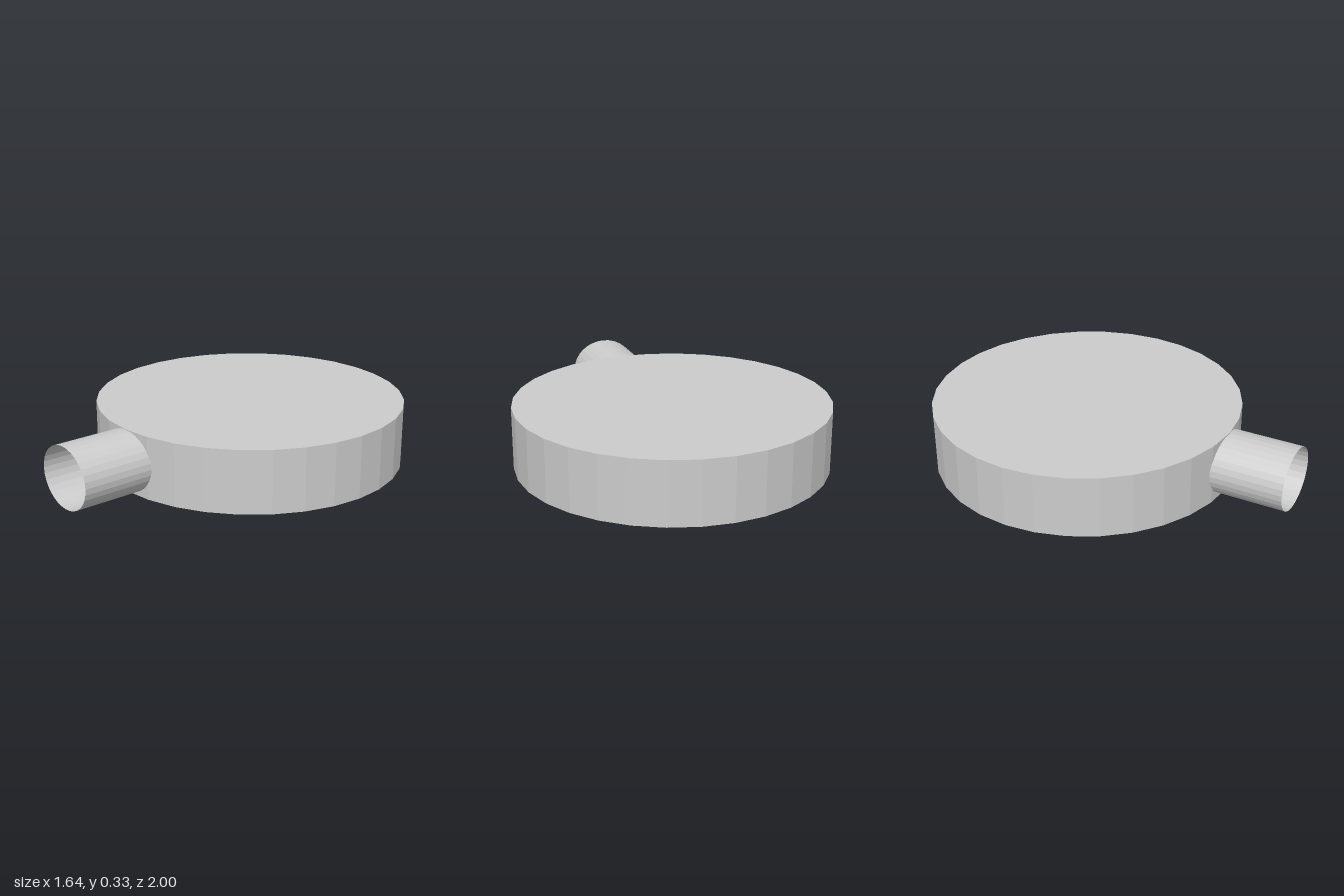
import * as THREE from 'three';

export function createModel() {
  const group = new THREE.Group();
  const height = 0.33;

  // Flat round body, 32 facets
  const body = new THREE.Mesh(
    new THREE.CylinderGeometry(0.82, 0.82, height, 32),
    new THREE.MeshStandardMaterial({ color: 0xcccccc, flatShading: true })
  );
  body.name = 'body';
  body.position.set(0, height / 2, -0.18);
  group.add(body);

  // Open spout with a slightly wide oval section, sunk into the body wall
  const start = 0.58, end = 1;
  const spoutGeometry = new THREE.CylinderGeometry(1, 1, end - start, 32, 1, true)
    .rotateX(Math.PI / 2)
    .scale(0.183, 0.162, 1);
  const spout = new THREE.Mesh(
    spoutGeometry,
    new THREE.MeshStandardMaterial({ color: 0xcccccc, flatShading: true, side: THREE.DoubleSide })
  );
  spout.name = 'spout';
  spout.position.set(0, height / 2, (start + end) / 2);
  group.add(spout);

  return group;
}
